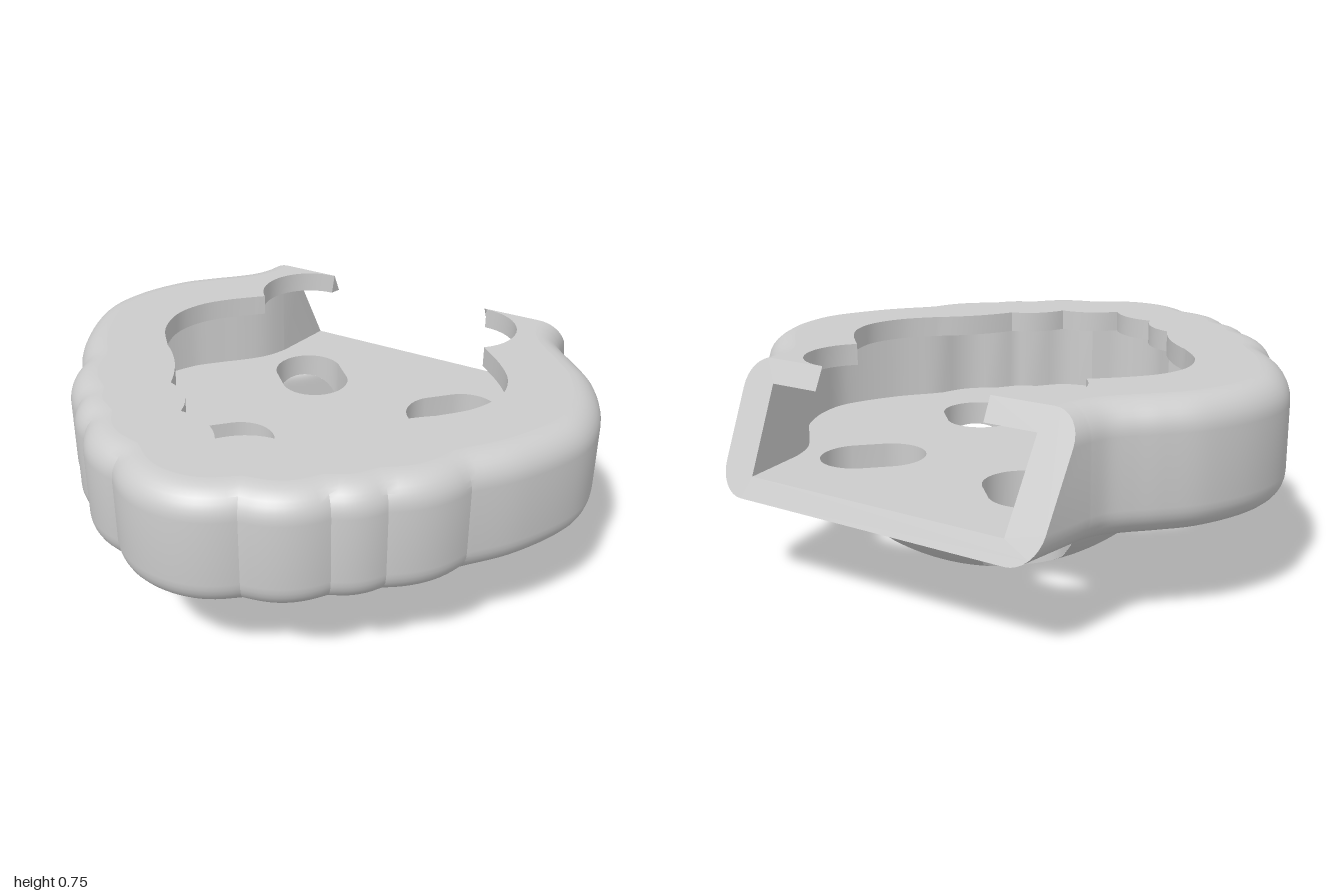
import * as THREE from 'three';
import { mergeGeometries, toCreasedNormals } from 'three/addons/utils/BufferGeometryUtils.js';

const TOP = 0.75, BOTTOM = 0.32, FLOOR = 0.39, LIP = 0.674, FILLET = 0.1;
const DOME_Z = -0.21, DOME_R = 0.7, HOLE = 0.32;
const V2 = (x, y) => new THREE.Vector2(x, y);

// The rear end is cut by a sloping plane
const rearZ = y => -0.746 - 0.5 * (TOP - y);

// Scallop from a to b (x, z), bulging outward by sag
function scallop(a, b, sag) {
  const d = V2(b[0] - a[0], b[1] - a[1]).normalize();
  const c = V2((a[0] + b[0]) / 2 - d.y * 2 * sag, (a[1] + b[1]) / 2 + d.x * 2 * sag);
  return new THREE.QuadraticBezierCurve(V2(...a), c, V2(...b)).getPoints(10);
}
const spline = (pts, n) => new THREE.SplineCurve(pts.map(p => V2(...p))).getPoints(n);

// Joins curve pieces of the left half (front to rear) and mirrors them
function mirrored(pieces) {
  const half = pieces.flatMap((p, i) => (i ? p.slice(1) : p));
  return [...half.slice().reverse(), ...half.slice(1).map(p => V2(-p.x, p.y))];
}

const outline = mirrored([
  scallop([0, 0.955], [0.235, 0.86], 0.026),
  scallop([0.235, 0.86], [0.47, 0.71], 0.035),
  scallop([0.47, 0.71], [0.6, 0.59], 0.018),
  scallop([0.6, 0.59], [0.77, 0.36], 0.03),
  spline([[0.77, 0.36], [0.88, 0.22], [0.97, 0.04], [1, -0.1], [0.975, -0.26], [0.9, -0.42],
    [0.81, -0.525], [0.74, -0.595], [0.69, -0.655], [0.665, -0.72]], 54),
]);

const clearance = Array.from({ length: 17 }, (_, i) => {
  const a = 0.82 - (i / 16) * (0.82 + Math.PI / 2);
  return V2(0.345 + 0.186 * Math.cos(a), -0.556 + 0.186 * Math.sin(a));
});
const opening = mirrored([
  scallop([0, 0.625], [0.2, 0.53], -0.03),
  scallop([0.2, 0.53], [0.35, 0.38], -0.03),
  scallop([0.35, 0.38], [0.54, 0.14], -0.02),
  spline([[0.54, 0.14], [0.63, 0.03], [0.67, -0.1], [0.645, -0.22], [0.575, -0.32], [0.472, -0.42]], 30),
  clearance,
]);

// Outline moved inward by d at height y, with both ends on the sloping plane
function wallLine(d, y) {
  const n = outline.length - 1;
  const pts = outline.map((p, i) => {
    const t = outline[Math.min(i + 1, n)].clone().sub(outline[Math.max(i - 1, 0)]).normalize();
    return new THREE.Vector3(p.x - t.y * d, y, p.y + t.x * d);
  });
  const z = rearZ(y), x = pts[0].x - 0.15 * (pts[0].z - z);
  return [new THREE.Vector3(x, y, z), ...pts, new THREE.Vector3(-x, y, z)];
}

function openingLine(y) {
  const z = rearZ(y);
  return [new THREE.Vector3(0.335, y, z), ...opening.map(p => new THREE.Vector3(p.x, y, p.y)),
    new THREE.Vector3(-0.335, y, z)];
}

// Surface through equally long rows of points
function loft(rows) {
  const w = rows[0].length, index = [];
  for (let i = 0; i < rows.length - 1; i++)
    for (let j = 0; j < w - 1; j++) {
      const a = i * w + j, d = a + w;
      index.push(a, a + 1, d + 1, a, d + 1, d);
    }
  const g = new THREE.BufferGeometry().setFromPoints(rows.flat());
  g.setIndex(index);
  return g;
}

// Smooth normals with sharp creases (scaled up so close points stay distinct)
function crease(g, angle = 0.4) {
  g.scale(20, 20, 20);
  const out = toCreasedNormals(g, angle);
  return out.scale(0.05, 0.05, 0.05);
}

// Flat horizontal face at height y
function cap(points, holes, y, down = false) {
  const flat = list => list.map(p => V2(p.x, -p.z));
  const shape = new THREE.Shape(flat(points));
  shape.holes = holes.map(h => new THREE.Path(flat(h)));
  const g = new THREE.ShapeGeometry(shape).rotateX(-Math.PI / 2).translate(0, y, 0);
  if (down) {
    g.index.array.reverse();
    g.computeVertexNormals();
  }
  return g;
}

// Height of the dome's underside: a sphere blended into the flat base
function domeY(r) {
  const R = 0.775, r0 = 0.55;
  const sphere = q => R - Math.sqrt(R * R - q * q);
  if (r <= r0) return sphere(r);
  const L = DOME_R - r0, t = Math.min((r - r0) / L, 1), slope = r0 / Math.sqrt(R * R - r0 * r0);
  const h = t * t * (3 - 2 * t);
  return sphere(r0) * (1 - h) + BOTTOM * h + slope * L * t * (1 - t) * (1 - t);
}

// Point on the dome from quadrant coordinates, turned by k quarter turns
function domePoint(u, v, k, y = domeY(Math.hypot(u, v))) {
  const c = [1, 0, -1, 0][k], s = [0, 1, 0, -1][k];
  return new THREE.Vector3(u * c - v * s, y, DOME_Z + u * s + v * c);
}

// Edge of a slot, lengthened along the radial direction
function slotEdge(a) {
  const c = Math.cos(a), s = Math.sin(a), d = 0.035 * Math.sign(c + s);
  return V2(HOLE + d + 0.135 * c, HOLE + d + 0.135 * s);
}

export function createModel() {
  const group = new THREE.Group();
  const material = new THREE.MeshStandardMaterial({ color: 0xcccccc, side: THREE.DoubleSide });
  const add = (name, geometry) => {
    const mesh = new THREE.Mesh(geometry, material);
    mesh.name = name;
    group.add(mesh);
  };

  // Outer wall with rounded top and bottom edges
  const levels = [];
  for (let i = 0; i <= 8; i++) {
    const a = (i / 8) * Math.PI / 2;
    levels.push([FILLET * (1 - Math.sin(a)), TOP - FILLET * (1 - Math.cos(a))]);
  }
  levels.push(...levels.map(([d, y]) => [d, TOP + BOTTOM - y]).reverse());
  const outer = levels.map(([d, y]) => wallLine(d, y));
  add('outerWall', crease(loft(outer)));

  // Four radial slots through floor and dome
  const slots = [0, 1, 2, 3].map(k => Array.from({ length: 49 }, (_, i) => {
    const p = slotEdge((i / 48) * Math.PI * 2 + 0.01);
    return domePoint(p.x, p.y, k);
  }));
  const atHeight = (line, y) => line.map(p => new THREE.Vector3(p.x, y, p.z));
  add('slotWalls', crease(mergeGeometries(slots.map(s => loft([s, atHeight(s, FLOOR)])))));

  // Pocket: floor, undercut wall and overhanging lip
  const cavityLow = wallLine(0.13, FLOOR), cavityHigh = wallLine(0.13, LIP);
  const lipLow = openingLine(LIP), lipHigh = openingLine(TOP);
  add('pocketFloor', cap(cavityLow, slots.map(s => s.slice(0, -1)), FLOOR));
  add('pocketWall', crease(loft([cavityLow, cavityHigh])));
  add('lipUnderside', cap([...cavityHigh, ...lipLow.slice().reverse()], [], LIP, true));
  add('lipEdge', crease(loft([lipLow, lipHigh])));
  add('topFace', cap([...outer[0], ...lipHigh.slice().reverse()], [], TOP));

  // Underside around the dome
  const rim = Array.from({ length: 96 }, (_, i) => {
    const a = (i / 96) * Math.PI * 2;
    return new THREE.Vector3(DOME_R * Math.cos(a), BOTTOM, DOME_Z + DOME_R * Math.sin(a));
  });
  add('underside', cap(outer[outer.length - 1], [rim], BOTTOM, true));

  // Sloping rear frame around the pocket mouth
  const side = [...outer.map(r => r[0]).reverse(), lipHigh[0], lipLow[0], cavityHigh[0], cavityLow[0]]
    .map(p => V2(p.x, p.y));
  const frame = new THREE.ShapeGeometry(new THREE.Shape(
    [...side, ...side.slice().reverse().map(p => V2(-p.x, p.y))]));
  const pos = frame.attributes.position;
  for (let i = 0; i < pos.count; i++) pos.setZ(i, rearZ(pos.getY(i)));
  frame.index.array.reverse();
  frame.computeVertexNormals();
  add('rearFrame', frame);

  // Dome: each quadrant is spread between its border and its slot
  const border = [];
  for (let i = 0; i < 24; i++) border.push(V2(DOME_R * i / 24, 0));
  for (let i = 0; i < 24; i++) {
    const a = (i / 24) * Math.PI / 2;
    border.push(V2(DOME_R * Math.cos(a), DOME_R * Math.sin(a)));
  }
  for (let i = 24; i >= 0; i--) border.push(V2(0, DOME_R * i / 24));
  const quadrants = [0, 1, 2, 3].map(k => loft(Array.from({ length: 17 }, (_, row) =>
    border.map(b => {
      const p = b.clone().lerp(slotEdge(Math.atan2(b.y - HOLE, b.x - HOLE)), row / 16);
      return domePoint(p.x, p.y, k);
    }))));
  add('dome', crease(mergeGeometries(quadrants), 0.7));

  return group;
}
